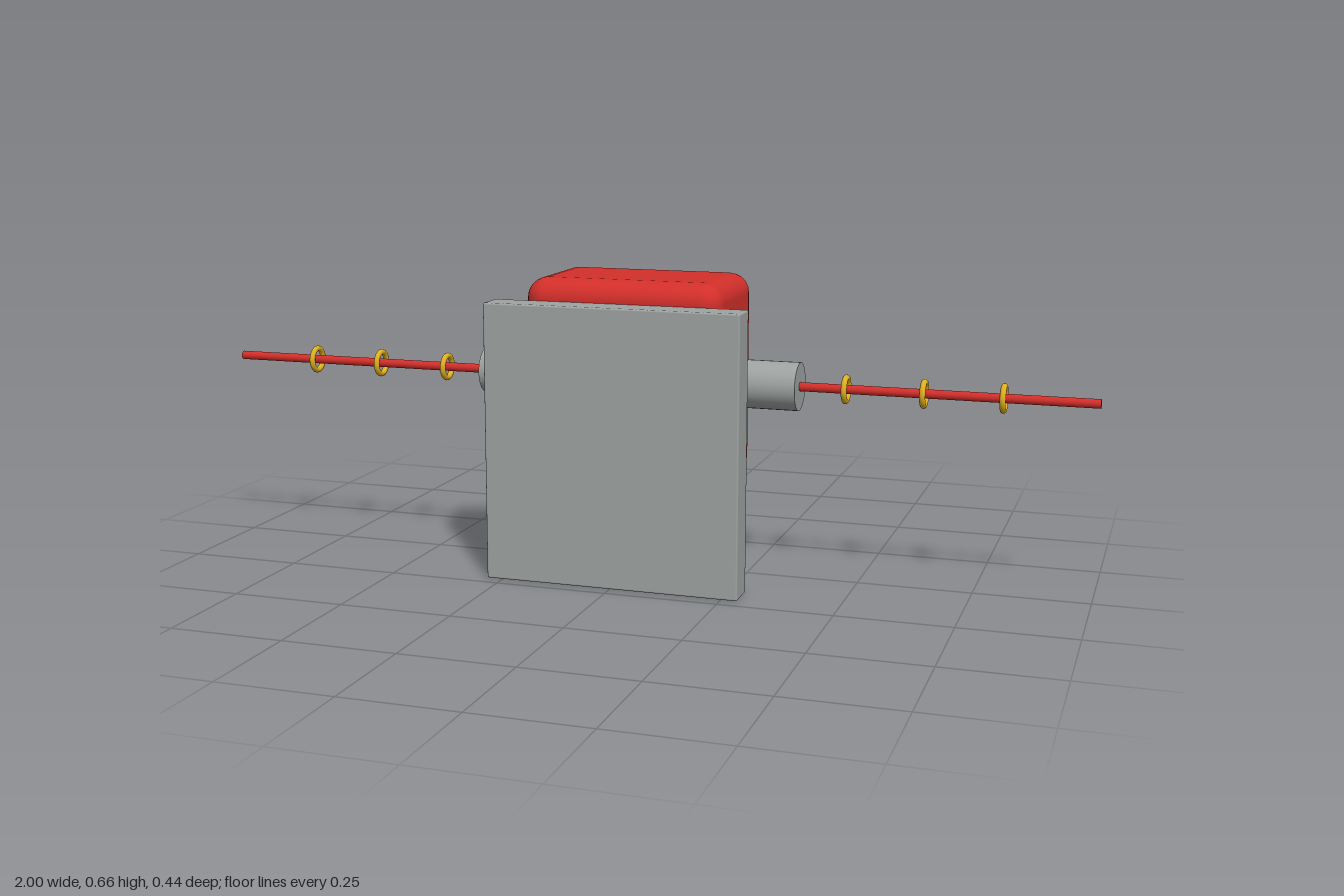
import * as THREE from 'three';
import { RoundedBoxGeometry } from 'three/addons/geometries/RoundedBoxGeometry.js';

const mat = (color) => new THREE.MeshStandardMaterial({ color });

export function createModel() {
  const model = new THREE.Group();
  const red = mat(0xd32f2a), grey = mat(0x9ea3a2), black = mat(0x24292c), gold = mat(0xe0b020);
  const axisY = 0.431, axisZ = 0.01;

  const add = (name, geometry, material, x, y, z) => {
    const mesh = new THREE.Mesh(geometry, material);
    mesh.name = name;
    mesh.position.set(x, y, z);
    model.add(mesh);
    return mesh;
  };

  // Mounting plate, switch housing and control panel
  add('mountingPlate', new RoundedBoxGeometry(0.572, 0.613, 0.071, 2, 0.004), grey, 0, 0.3065, 0.1835);
  add('housing', new RoundedBoxGeometry(0.444, 0.461, 0.287, 3, 0.045), red, 0, 0.4305, 0.0085);
  add('panel', new RoundedBoxGeometry(0.356, 0.36, 0.031, 3, 0.014), black, 0, 0.43, -0.1525);

  // Push button on the back of the housing
  const button = add('pushButton', new THREE.CylinderGeometry(0.072, 0.072, 0.054, 32), red, 0, 0.459, -0.191);
  button.rotation.x = Math.PI / 2;

  // Cable gland, pull rope and rope rings on each side
  for (const [side, s] of [['left', 1], ['right', -1]]) {
    const gland = add(side + 'Gland', new THREE.CylinderGeometry(0.053, 0.053, 0.128, 32), grey, s * 0.302, axisY, axisZ);
    gland.rotation.z = Math.PI / 2;

    const rope = add(side + 'Rope', new THREE.CylinderGeometry(0.01, 0.01, 0.64, 16), red, s * 0.68, axisY, axisZ);
    rope.rotation.z = Math.PI / 2;

    [0.467, 0.635, 0.802].forEach((x, i) => {
      const ring = add(side + 'RopeRing' + (i + 1), new THREE.TorusGeometry(0.0255, 0.0065, 12, 32), gold, s * x, axisY, axisZ);
      ring.rotation.y = Math.PI / 2;
    });
  }

  return model;
}
